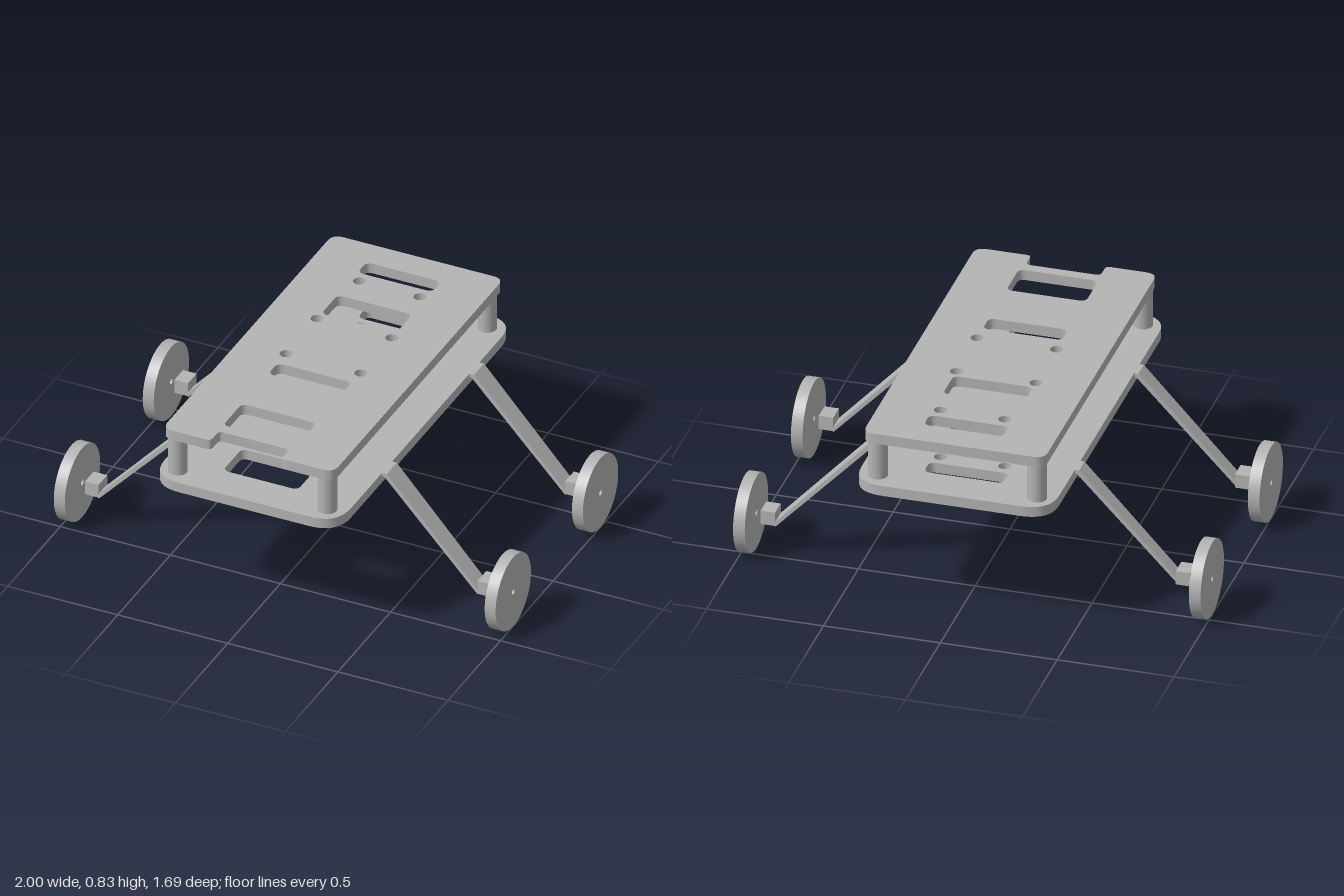
import * as THREE from 'three';
import { toCreasedNormals } from 'three/addons/utils/BufferGeometryUtils.js';

// Trace a closed outline, rounding every corner by r
function roundedPath(path, points, r) {
  const v = points.map(([x, y]) => new THREE.Vector2(x, y));
  const n = v.length;
  v.forEach((p, i) => {
    const before = v[(i + n - 1) % n], after = v[(i + 1) % n];
    const radius = Array.isArray(r) ? r[i] : r;
    const a = p.clone().add(before.clone().sub(p).setLength(radius));
    const b = p.clone().add(after.clone().sub(p).setLength(radius));
    if (i === 0) path.moveTo(a.x, a.y); else path.lineTo(a.x, a.y);
    path.quadraticCurveTo(p.x, p.y, b.x, b.y);
  });
  path.closePath();
  return path;
}

function circleHole(x, y, r) {
  const hole = new THREE.Path();
  hole.absarc(x, y, r, 0, Math.PI * 2, true);
  return hole;
}

function extrude(shape, depth, curveSegments = 8) {
  const g = new THREE.ExtrudeGeometry(shape, { depth, curveSegments, bevelEnabled: false });
  return toCreasedNormals(g, 0.6);
}

export function createModel() {
  const model = new THREE.Group();
  const grey = new THREE.MeshStandardMaterial({ color: 0xb4b4b4 });
  const add = (name, geometry, x = 0, y = 0, z = 0) => {
    const mesh = new THREE.Mesh(geometry, grey);
    mesh.name = name;
    mesh.position.set(x, y, z);
    model.add(mesh);
    return mesh;
  };

  // Slots and cable holes shared by both decks (shape y is -z)
  const slots = [[-0.685, -0.6], [-0.41, -0.255], [0.16, 0.25], [0.5, 0.68]];
  const holes = [[-0.14, -0.545], [0.135, -0.545], [-0.175, -0.215],
    [0.165, -0.215], [-0.175, 0.08], [0.165, 0.08]];
  const deck = (name, outline, radii, y) => {
    const shape = roundedPath(new THREE.Shape(), outline.map(([x, z]) => [x, -z]), radii);
    for (const [z0, z1] of slots) {
      const corners = [[-0.175, -z0], [0.165, -z0], [0.165, -z1], [-0.175, -z1]];
      shape.holes.push(roundedPath(new THREE.Path(), corners, 0.03));
    }
    for (const [x, z] of holes) shape.holes.push(circleHole(x, -z, 0.027));
    add(name, extrude(shape, 0.046).rotateX(-Math.PI / 2), 0, y, 0);
  };
  deck('lowerDeck', [[-0.425, 0.843], [0.422, 0.843], [0.422, -0.85], [-0.425, -0.85]], 0.13, 0.565);
  deck('upperDeck', [[-0.39, 0.806], [-0.17, 0.806], [-0.17, 0.728], [0.15, 0.728],
    [0.15, 0.806], [0.387, 0.806], [0.387, -0.815], [-0.39, -0.815]],
  [0.05, 0.02, 0.02, 0.02, 0.02, 0.05, 0.05, 0.05], 0.785);

  // Spacer posts between the decks
  for (const x of [-0.343, 0.337]) {
    for (const z of [-0.762, 0.758]) {
      add('post', new THREE.CylinderGeometry(0.041, 0.041, 0.176, 32), x, 0.698, z);
    }
  }

  // Wheel: thin disc with a small axle hole
  const disc = new THREE.Shape();
  disc.absarc(0, 0, 0.168, 0, Math.PI * 2, false);
  disc.holes.push(circleHole(0, 0, 0.013));
  const wheelGeometry = extrude(disc, 0.05, 40).translate(0, 0, -0.025).rotateY(Math.PI / 2);

  // Leg side profile, with a short tab on the deck edge
  const profile = [[0.415, 0.594], [0.415, 0.611], [0.443, 0.611], [0.867, 0.152],
    [0.856, 0.141], [0.432, 0.594]];

  // side, z range at the deck, z range at the wheel, bracket z range, wheel z
  const corners = [
    ['rightFront', -1, [0.357, 0.435], [0.37, 0.435], [0.352, 0.435], 0.394],
    ['rightBack', -1, [-0.493, -0.415], [-0.478, -0.415], [-0.498, -0.415], -0.452],
    ['leftFront', 1, [0.32, 0.415], [0.336, 0.418], [0.336, 0.42], 0.378],
    ['leftBack', 1, [-0.51, -0.415], [-0.495, -0.415], [-0.497, -0.415], -0.452],
  ];
  for (const [name, s, top, end, bracket, wheelZ] of corners) {
    const shape = new THREE.Shape(profile.map(([x, y]) => new THREE.Vector2(s * x, y)));
    const leg = new THREE.ExtrudeGeometry(shape, { depth: 1, bevelEnabled: false });
    // Taper the strip from deck to wheel
    const p = leg.attributes.position;
    for (let i = 0; i < p.count; i++) {
      const t = THREE.MathUtils.clamp((Math.abs(p.getX(i)) - 0.43) / 0.43, 0, 1);
      const k = p.getZ(i) > 0.5 ? 1 : 0;
      p.setZ(i, THREE.MathUtils.lerp(top[k], end[k], t));
    }
    leg.computeVertexNormals();
    add(name + 'Leg', leg);

    // Block at the foot of the leg
    add(name + 'Bracket', new THREE.BoxGeometry(0.062, 0.062, bracket[1] - bracket[0]),
      s * 0.888, 0.176, (bracket[0] + bracket[1]) / 2);
    add(name + 'Wheel', wheelGeometry, s * 0.975, 0.17, wheelZ);
  }
  return model;
}
